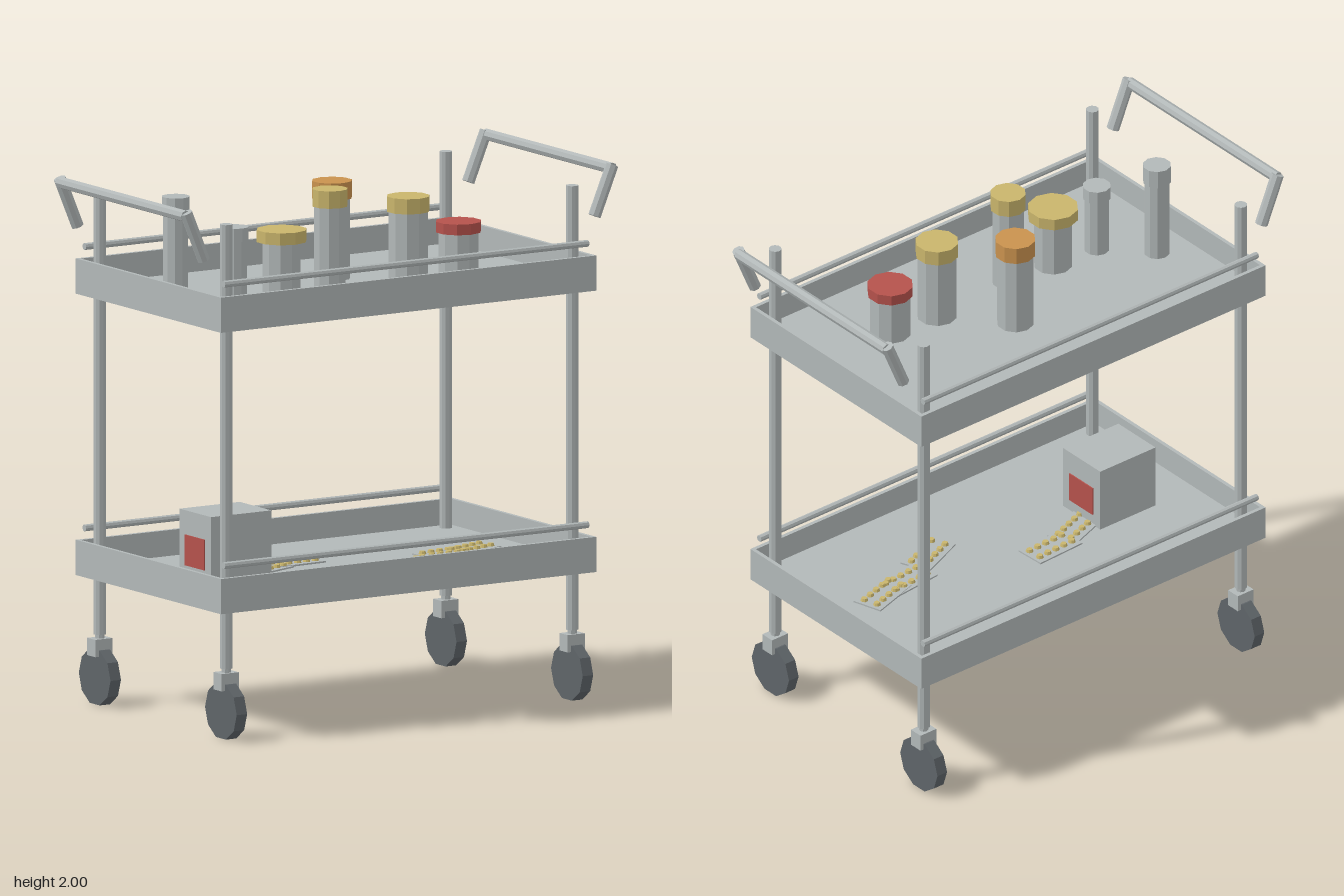
import * as THREE from 'three';

const mat = (name, color) => Object.assign(new THREE.MeshStandardMaterial({ color }), { name });

export function createModel() {
  const root = new THREE.Group();
  root.name = 'trolley';
  const metal = mat('metalGrey', 0xb2b8b8);
  const rubber = mat('rubberDark', 0x5f6569);
  const yellow = mat('lidYellow', 0xc9b56c);
  const orange = mat('lidOrange', 0xc9924e);
  const red = mat('signalRed', 0xb5524c);

  // Faceted geometry with one normal per face
  const flat = (g) => {
    const f = g.index ? g.toNonIndexed() : g;
    f.computeVertexNormals();
    return f;
  };
  const add = (name, geo, material, x = 0, y = 0, z = 0, parent = root) => {
    const m = new THREE.Mesh(flat(geo), material);
    m.name = name;
    m.position.set(x, y, z);
    parent.add(m);
    return m;
  };
  const box = (w, h, d) => new THREE.BoxGeometry(w, h, d);
  const up = new THREE.Vector3(0, 1, 0);
  // Round bar between two points
  const bar = (name, a, b, r, sides = 8) => {
    const p = new THREE.Vector3(...a), q = new THREE.Vector3(...b);
    const dir = q.clone().sub(p);
    const m = add(name, new THREE.CylinderGeometry(r, r, dir.length(), sides), metal);
    m.position.copy(p).add(q).multiplyScalar(0.5);
    m.quaternion.setFromUnitVectors(up, dir.normalize());
  };

  // Two trays, each a floor inside a thin rim, with a rail along both long sides
  const W = 1.65, D = 0.99, H = 0.132, T = 0.015, FLOOR = 0.035;
  const rect = (Type, w, d) => {
    const s = new Type();
    s.moveTo(-w / 2, -d / 2);
    s.lineTo(w / 2, -d / 2);
    s.lineTo(w / 2, d / 2);
    s.lineTo(-w / 2, d / 2);
    s.closePath();
    return s;
  };
  const rimShape = rect(THREE.Shape, W, D);
  rimShape.holes.push(rect(THREE.Path, W - 2 * T, D - 2 * T));
  for (const [level, y] of [['lower', 0.483], ['upper', 1.538]]) {
    const rim = new THREE.ExtrudeGeometry(rimShape, { depth: H, bevelEnabled: false });
    rim.rotateX(-Math.PI / 2);
    add(level + 'TrayRim', rim, metal, 0, y, 0);
    add(level + 'TrayFloor', box(W - 2 * T, FLOOR, D - 2 * T), metal, 0, y + FLOOR / 2, 0);
    for (const s of [-1, 1]) {
      bar(level + 'Rail', [-0.8, y + 0.177, s * 0.474], [0.8, y + 0.177, s * 0.474], 0.013);
    }
  }

  // Posts and castors at the four corners
  for (const sx of [-1, 1]) {
    for (const sz of [-1, 1]) {
      const x = sx * 0.76, z = sz * 0.43;
      bar('post', [x, 0.265, z], [x, 1.93, z], 0.024, 10);
      bar('castorStem', [x, 0.24, z], [x, 0.27, z], 0.018);
      add('castorFork', box(0.076, 0.065, 0.056), metal, x, 0.218, z);
      const wheel = new THREE.CylinderGeometry(0.108, 0.108, 0.046, 10);
      wheel.rotateZ(Math.PI / 2);
      add('wheel', wheel, rubber, x, 0.107, z);
    }
    // Slanted end handle
    for (const sz of [-1, 1]) {
      bar('handleArm', [sx * 0.858, 1.805, sz * 0.43], [sx * 0.936, 1.99, sz * 0.43], 0.024);
    }
    bar('handleGrip', [sx * 0.936, 1.976, -0.43], [sx * 0.936, 1.976, 0.43], 0.022);
  }

  // Bottles and jars: x, z, body radius, lid radius, lid bottom, lid top, lid material
  const upperFloor = 1.538 + FLOOR;
  const jars = [
    [-0.672, -0.05, 0.048, 0.053, 1.885, 1.955, metal],
    [-0.516, 0.11, 0.047, 0.053, 1.80, 1.85, metal],
    [-0.323, 0.13, 0.072, 0.095, 1.78, 1.825, yellow],
    [-0.12, 0.145, 0.06, 0.067, 1.895, 1.96, yellow],
    [0.042, -0.093, 0.069, 0.076, 1.875, 1.94, orange],
    [0.233, 0.13, 0.075, 0.081, 1.84, 1.897, yellow],
    [0.443, 0.147, 0.077, 0.086, 1.745, 1.785, red],
  ];
  for (const [x, z, rb, rl, y0, y1, lidMat] of jars) {
    const h = y0 - upperFloor;
    add('jarBody', new THREE.CylinderGeometry(rb, rb, h, 10), metal, x, upperFloor + h / 2, z);
    add('jarLid', new THREE.CylinderGeometry(rl, rl, y1 - y0, 10), lidMat, x, (y0 + y1) / 2, z);
  }

  // Supply box with a red label on both ends
  const lowerFloor = 0.483 + FLOOR;
  const boxH = 0.77 - lowerFloor;
  add('supplyBox', box(0.265, boxH, 0.215), metal, -0.487, lowerFloor + boxH / 2, 0.002);
  for (const s of [-1, 1]) {
    add('boxLabel', box(0.006, 0.115, 0.135), red, -0.487 + s * 0.134, 0.622, 0.002);
  }

  // Pill strips: x, z, turn
  const strips = [
    [-0.29, -0.04, 0.35], [-0.13, -0.09, 0.05], [0.25, 0.16, 0.4], [0.43, 0.07, 0.1], [0.56, 0.05, 0.3],
  ];
  strips.forEach(([x, z, turn], n) => {
    const strip = new THREE.Group();
    strip.name = 'pillStrip';
    strip.position.set(x, lowerFloor + 0.002 * n, z);
    strip.rotation.y = turn;
    root.add(strip);
    add('stripFoil', box(0.21, 0.006, 0.12), metal, 0, 0.004, 0, strip);
    for (let i = 0; i < 5; i++) {
      for (const s of [-1, 1]) {
        add('pill', new THREE.CylinderGeometry(0.011, 0.015, 0.012, 8), yellow,
          (i - 2) * 0.04, 0.012, s * 0.028, strip);
      }
    }
  });

  return root;
}
